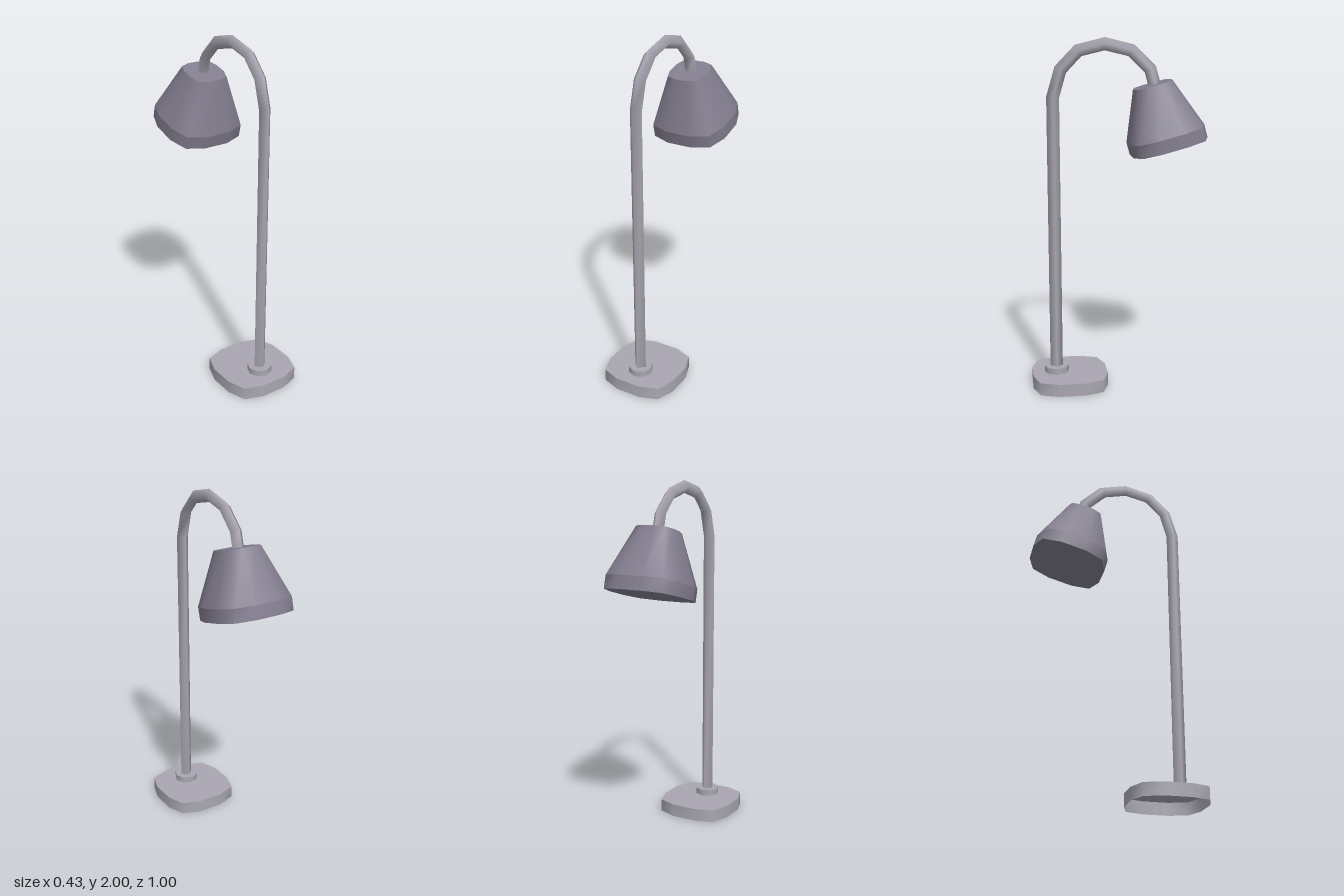
import * as THREE from 'three';

// Skin a list of closed rings (arrays of Vector3) with smooth sides
function loft(rings) {
  const n = rings[0].length;
  const geo = new THREE.BufferGeometry().setFromPoints(rings.flat());
  const index = [];
  for (let r = 0; r < rings.length - 1; r++) {
    for (let i = 0; i < n; i++) {
      const a = r * n + i, b = r * n + (i + 1) % n;
      index.push(a, a + n, b, b, a + n, b + n);
    }
  }
  geo.setIndex(index);
  geo.computeVertexNormals();
  return geo;
}

// Flat lid over a ring, facing up or down
function lid(ring, up) {
  const geo = new THREE.BufferGeometry().setFromPoints(ring);
  const index = [];
  for (let i = 1; i < ring.length - 1; i++) {
    if (up) index.push(0, i + 1, i);
    else index.push(0, i, i + 1);
  }
  geo.setIndex(index);
  geo.computeVertexNormals();
  return geo;
}

// Rounded-square outline with twelve corners, at height y
function squircle(scale, y) {
  const ring = [];
  const quarter = [[0.217, 0.074], [0.18, 0.18], [0.074, 0.217]];
  for (let q = 0; q < 4; q++) {
    for (const [x, z] of quarter) {
      const v = new THREE.Vector3(x * scale, y, z * scale);
      // exact quarter turns, running from +x towards +z
      for (let k = 0; k < q; k++) v.set(-v.z, v.y, v.x);
      ring.push(v);
    }
  }
  return ring;
}

export function createModel() {
  const model = new THREE.Group();
  model.name = 'deskLamp';
  const metal = new THREE.MeshStandardMaterial({ color: 0xa9a6b2, side: THREE.DoubleSide });
  metal.name = 'light grey metal';
  const shadeMat = new THREE.MeshStandardMaterial({ color: 0x837e8f, side: THREE.DoubleSide });
  shadeMat.name = 'purple grey shade';

  const add = (parent, name, geo, mat) => {
    const mesh = new THREE.Mesh(geo, mat);
    mesh.name = name;
    parent.add(mesh);
    return mesh;
  };

  // Base: a hollow foot, open underneath
  const base = new THREE.Group();
  base.name = 'base';
  base.position.z = 0.283;
  const foot = squircle(1, 0.073);
  add(base, 'baseWall', loft([squircle(1, 0), foot]), metal);
  add(base, 'baseTop', lid(foot, true), metal);
  model.add(base);

  // Collar around the foot of the pole
  const collar = add(model, 'collar', new THREE.CylinderGeometry(0.071, 0.071, 0.036, 8), metal);
  collar.position.set(0, 0.091, 0.359);

  // Pole: a four-sided tube bent over at the top, path as [z, y]
  const path = [
    [0.36, 0.075], [0.36, 1.674], [0.316, 1.825], [0.217, 1.928], [0.069, 1.964],
    [-0.079, 1.928], [-0.186, 1.825], [-0.212, 1.73],
  ].map(([z, y]) => new THREE.Vector3(0, y, z));
  const r = 0.036;
  const rings = path.map((p, i) => {
    const t = new THREE.Vector3();
    if (i > 0) t.add(p.clone().sub(path[i - 1]).normalize());
    if (i < path.length - 1) t.add(path[i + 1].clone().sub(p).normalize());
    t.normalize();
    const side = new THREE.Vector3(r, 0, 0);
    const out = new THREE.Vector3(0, -t.z, t.y).multiplyScalar(r);
    return [p.clone().add(side), p.clone().add(out), p.clone().sub(side), p.clone().sub(out)];
  });
  add(model, 'pole', loft(rings), metal);

  // Shade: tapered hood with a straight rim, closed at both ends, tilted
  const shade = new THREE.Group();
  shade.name = 'shade';
  shade.position.set(0, 1.393, -0.292);
  shade.rotation.x = Math.PI / 12;
  const bottom = squircle(1, 0), rim = squircle(1, 0.075), top = squircle(0.5, 0.36);
  add(shade, 'shadeRim', loft([bottom, rim]), shadeMat);
  add(shade, 'shadeHood', loft([rim, top]), shadeMat);
  add(shade, 'shadeTop', lid(top, true), shadeMat);
  add(shade, 'shadeUnderside', lid(bottom, false), shadeMat);
  model.add(shade);

  return model;
}
